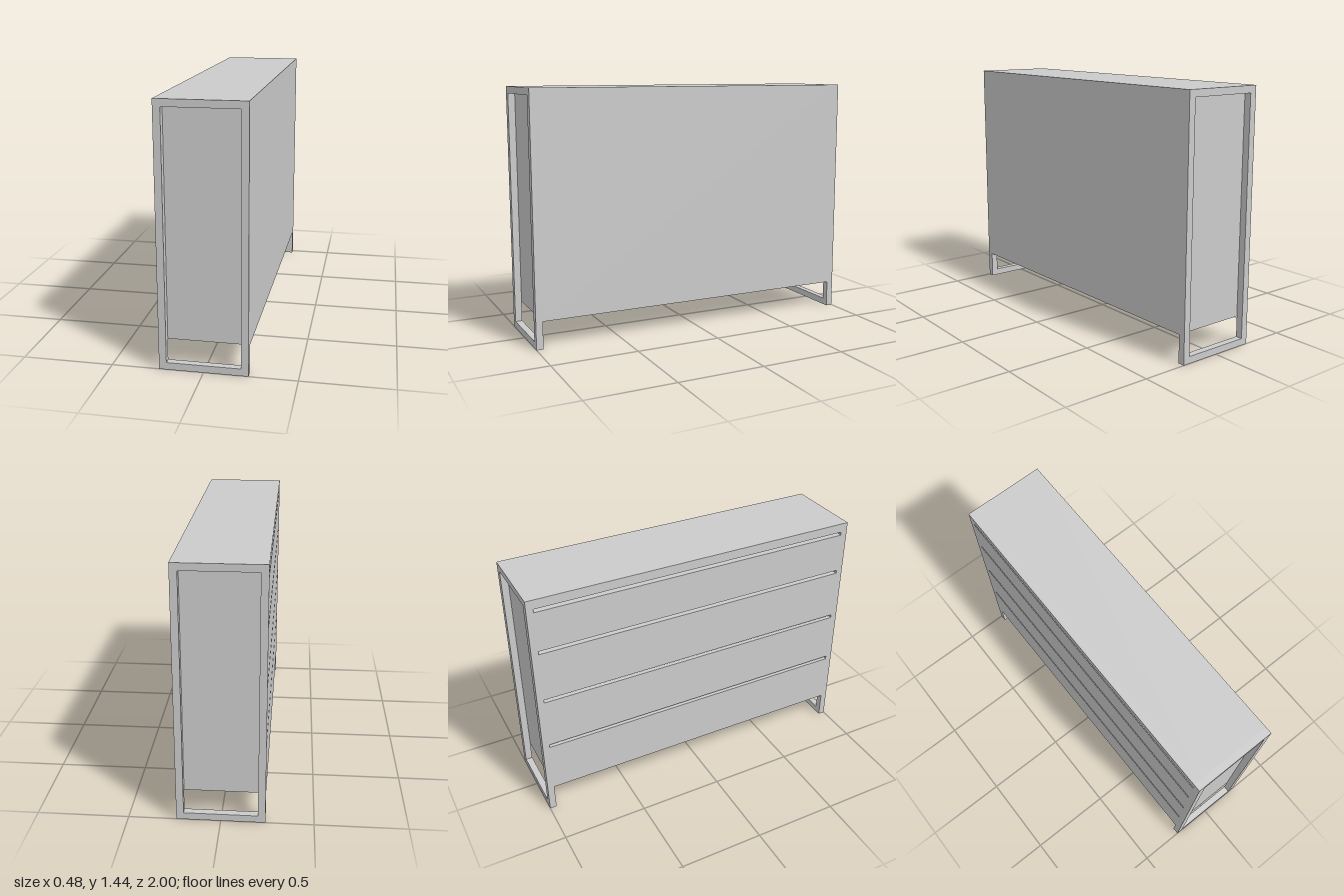
import * as THREE from 'three';

const W = 0.48, H = 1.44, L = 2, T = 0.04; // overall size and bar thickness
const BASE = 0.16;                         // height of the cabinet floor
const GAP = 0.02;                          // finger gap above each drawer
const gapCentres = [0.475, 0.796, 1.117, 1.376];

export function createModel() {
  const group = new THREE.Group();
  const material = new THREE.MeshStandardMaterial({ color: 0xcccccc });

  const add = (name, geometry, x = 0, y = 0, z = 0) => {
    const mesh = new THREE.Mesh(geometry, material);
    mesh.name = name;
    mesh.position.set(x, y, z);
    group.add(mesh);
  };

  const rectangle = (PathType, x0, y0, x1, y1) => new PathType([
    new THREE.Vector2(x0, y0), new THREE.Vector2(x1, y0),
    new THREE.Vector2(x1, y1), new THREE.Vector2(x0, y1),
  ]);

  // Open rectangular frames that carry the cabinet at both ends
  const outline = rectangle(THREE.Shape, -W / 2, 0, W / 2, H);
  outline.holes.push(rectangle(THREE.Path, -W / 2 + T, T, W / 2 - T, H - T));
  const frame = new THREE.ExtrudeGeometry(outline, { depth: T, bevelEnabled: false });
  add('frontFrame', frame, 0, 0, L / 2 - T);
  add('backFrame', frame, 0, 0, -L / 2);

  // Cabinet body behind the drawer fronts
  const inner = L - 2 * T;
  add('cabinetBody', new THREE.BoxGeometry(W - T, H - BASE, inner), T / 2, (H + BASE) / 2, 0);

  // Drawer fronts on the -x side, each ending below a finger gap
  let bottom = BASE;
  const addFront = (name, top) =>
    add(name, new THREE.BoxGeometry(T, top - bottom, inner), (T - W) / 2, (top + bottom) / 2, 0);
  gapCentres.forEach((y, i) => {
    addFront(`drawerFront${i + 1}`, y - GAP / 2);
    bottom = y + GAP / 2;
  });
  addFront('topRail', H);

  return group;
}
